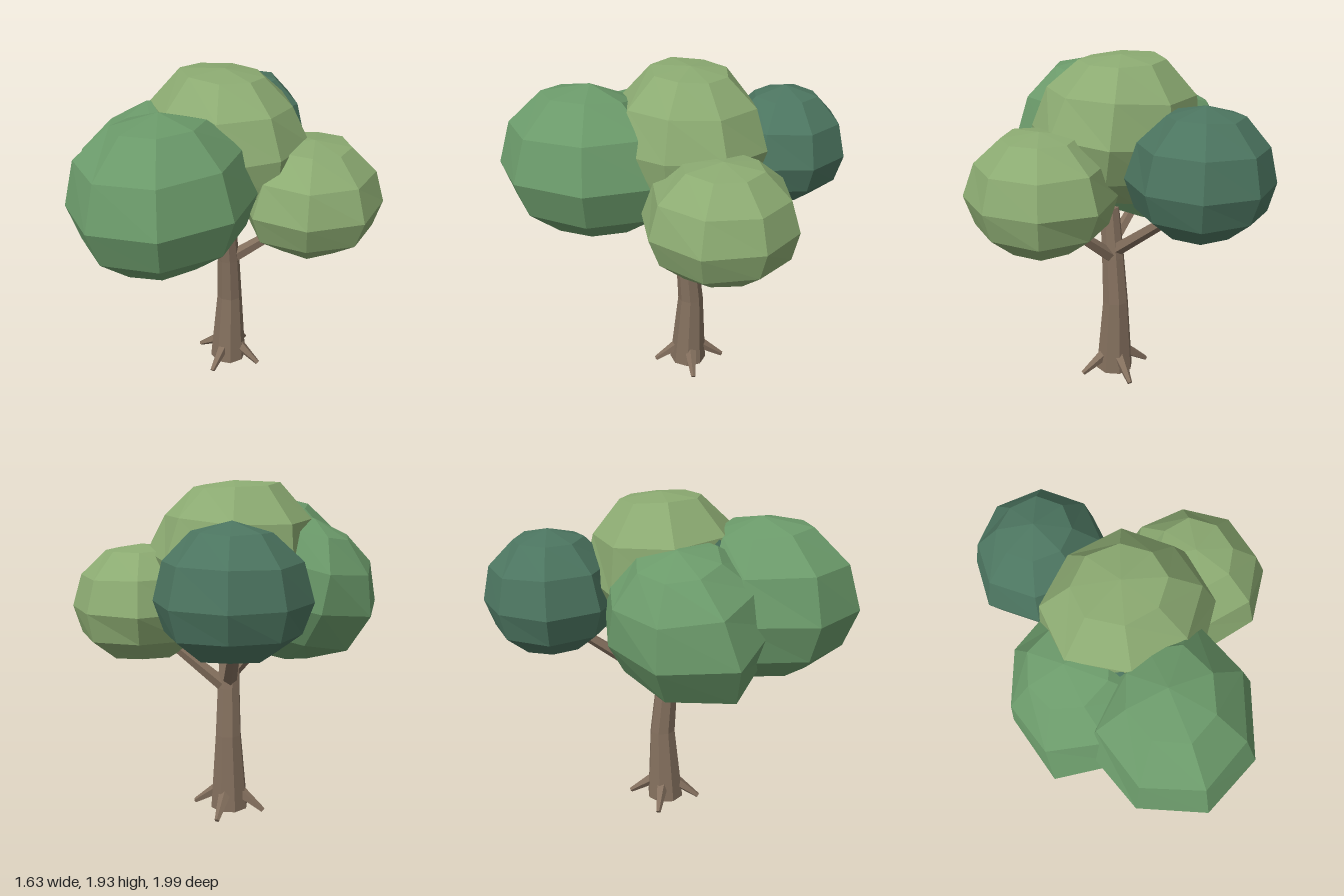
import * as THREE from 'three';

const material = (color) => new THREE.MeshStandardMaterial({ color, flatShading: true });
const bark = material(0x84705e);
const midGreen = material(0x6b9a6a);
const lightGreen = material(0x8cab72);
const darkGreen = material(0x4c7560);

// Faceted leaf clump: coarse sphere, slightly uneven, turned, tilted and stretched.
// cap flattens the crown, lower squashes the underside,
// bulges [x, y, z, amount] push out (or dent, if negative) one side.
function clump(name, mat, center, radii, { turn = 0, tilt = 0, cap = 1, lower = 0.86, bulges = [] } = {}) {
  const geo = new THREE.SphereGeometry(1, 8, 6).rotateY(turn).rotateZ(tilt);
  const p = geo.attributes.position;
  const v = new THREE.Vector3();
  for (let i = 0; i < p.count; i++) {
    v.fromBufferAttribute(p, i);
    let scale = 1 + 0.015 * Math.sin(v.x * 7 + v.y * 11 + v.z * 13 + center[0] * 9);
    for (const [x, y, z, amount] of bulges) {
      const facing = v.dot(new THREE.Vector3(x, y, z).normalize());
      scale += amount * Math.max(0, facing) ** 3;
    }
    v.multiplyScalar(scale);
    p.setXYZ(i, v.x, v.y < 0 ? Math.max(v.y, -1) * lower : Math.min(v.y, cap), v.z);
  }
  geo.scale(...radii).translate(...center);
  const mesh = new THREE.Mesh(geo, mat);
  mesh.name = name;
  return mesh;
}

// Tapered limb between two points
function limb(name, from, to, r0, r1, sides = 5) {
  const a = new THREE.Vector3(...from);
  const b = new THREE.Vector3(...to);
  const dir = b.clone().sub(a);
  const mesh = new THREE.Mesh(new THREE.CylinderGeometry(r1, r0, dir.length(), sides), bark);
  mesh.quaternion.setFromUnitVectors(new THREE.Vector3(0, 1, 0), dir.normalize());
  mesh.position.copy(a).add(b).multiplyScalar(0.5);
  mesh.name = name;
  return mesh;
}

// Bent trunk: a cylinder whose rings follow [x, y, z, radius] sections
function trunk() {
  const sections = [
    [-0.05, 1.06, -0.04, 0.057],
    [-0.06, 0.76, -0.082, 0.067],
    [-0.07, 0.48, -0.106, 0.077],
    [-0.07, 0.02, -0.093, 0.113],
  ];
  const geo = new THREE.CylinderGeometry(1, 1, 3, 8, 3);
  const p = geo.attributes.position;
  for (let i = 0; i < p.count; i++) {
    const [x, y, z, r] = sections[Math.round(1.5 - p.getY(i))];
    p.setXYZ(i, x + p.getX(i) * r, y, z + p.getZ(i) * r);
  }
  const mesh = new THREE.Mesh(geo, bark);
  mesh.name = 'trunk';
  return mesh;
}

export function createModel() {
  const tree = new THREE.Group();
  tree.name = 'tree';
  tree.add(trunk());

  // Four roots spread around the foot of the trunk
  const roots = new THREE.Group();
  roots.name = 'roots';
  for (let i = 0; i < 4; i++) {
    const a = 0.15 + (i * Math.PI) / 2;
    const at = (r, y) => [-0.07 + Math.sin(a) * r, y, -0.1 + Math.cos(a) * r];
    roots.add(limb('root', at(0.07, 0.12), at(0.215, 0.018), 0.038, 0.015));
  }
  tree.add(roots);

  // Branches reaching into the leaf clumps
  tree.add(
    limb('leftBranch', [-0.04, 0.77, -0.1], [0.33, 1.09, -0.24], 0.042, 0.026),
    limb('backBranch', [-0.07, 0.8, -0.09], [-0.34, 1.2, -0.54], 0.042, 0.028),
    limb('rightBranch', [-0.06, 0.83, -0.06], [-0.3, 1.12, 0.06], 0.038, 0.025),
    limb('frontBranch', [-0.06, 0.96, -0.06], [-0.07, 1.1, 0.24], 0.038, 0.025),
  );

  // Crown
  tree.add(
    clump('frontLeaves', midGreen, [-0.085, 1.375, 0.46], [0.46, 0.485, 0.545], {
      bulges: [[-0.4, 0.5, -0.75, -0.22], [0.9, 0, -0.45, 0.08]],
    }),
    clump('rightLeaves', midGreen, [-0.355, 1.34, 0.125], [0.455, 0.415, 0.45], {
      tilt: 0.3, lower: 0.99, bulges: [[-0.6, -0.45, 0.65, 0.28]],
    }),
    clump('topLeaves', lightGreen, [-0.05, 1.51, -0.09], [0.47, 0.465, 0.44], {
      turn: -0.3, tilt: 0.1, cap: 0.92, bulges: [[-0.8, 0.4, 0.35, 0.13], [0.7, 0.7, -0.2, -0.1]],
    }),
    clump('leftLeaves', lightGreen, [0.395, 1.24, -0.265], [0.41, 0.37, 0.435], {
      turn: -0.25, cap: 0.94, bulges: [[0.6, 0.35, -0.7, -0.06]],
    }),
    clump('backLeaves', darkGreen, [-0.365, 1.375, -0.64], [0.395, 0.385, 0.38], {
      turn: -0.38, lower: 0.8, bulges: [[-0.7, 0, -0.7, -0.06]],
    }),
    // Small inner clump that just shows between the large ones
    clump('innerLeaves', darkGreen, [-0.19, 1.56, 0.22], [0.14, 0.22, 0.12], { turn: 0.4, tilt: 0.2 }),
  );
  return tree;
}
